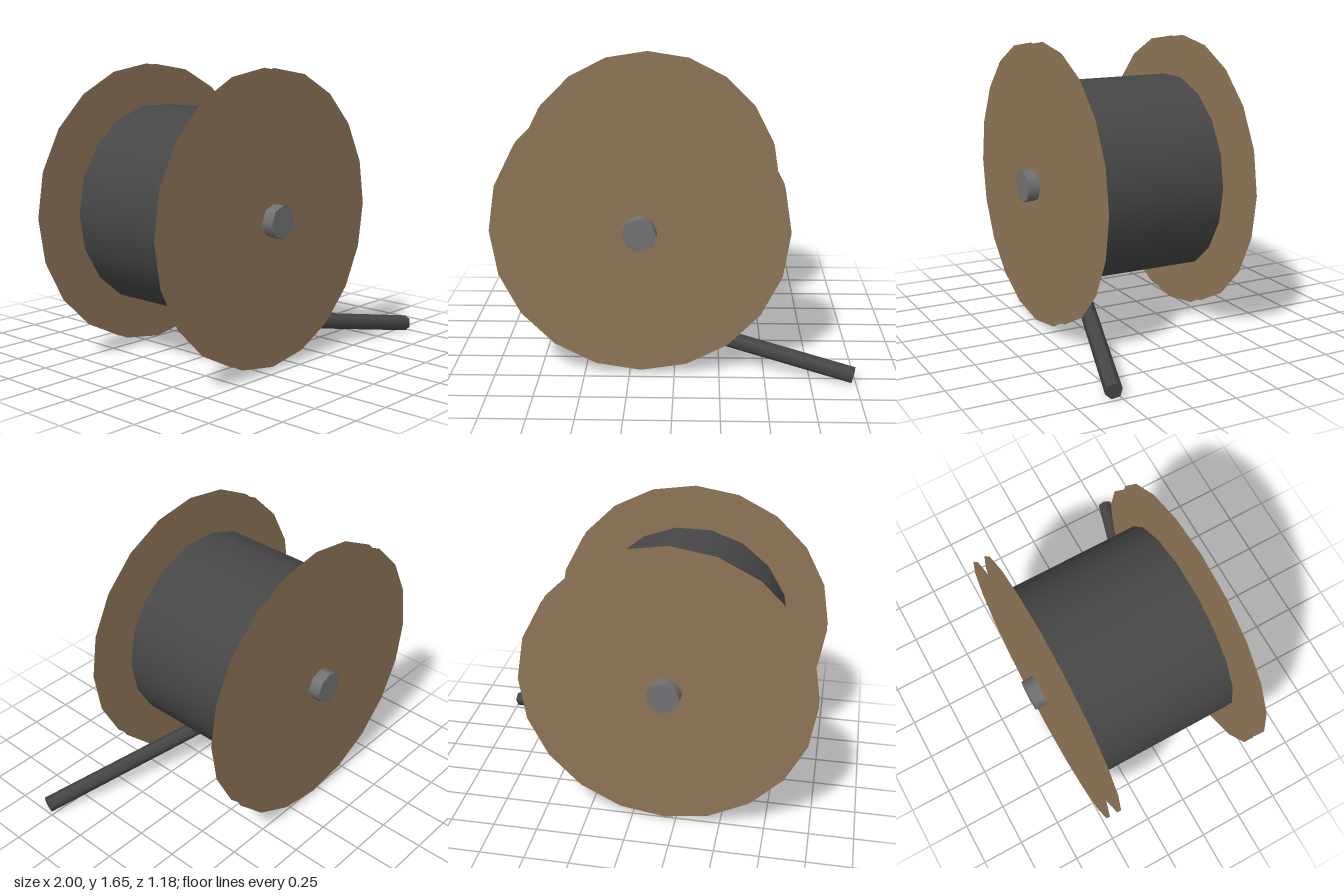
import * as THREE from 'three';

export function createModel() {
  const model = new THREE.Group();
  model.name = 'cableReel';

  const wood = new THREE.MeshStandardMaterial({ color: 0x8f7558, side: THREE.DoubleSide });
  wood.name = 'brown wood';
  const steel = new THREE.MeshStandardMaterial({ color: 0x737373 });
  steel.name = 'grey steel';
  const rubber = new THREE.MeshStandardMaterial({ color: 0x474747, side: THREE.DoubleSide });
  rubber.name = 'dark cable';

  const add = (parent, name, geometry, material) => {
    const mesh = new THREE.Mesh(geometry, material);
    mesh.name = name;
    parent.add(mesh);
    return mesh;
  };

  // Reel, lying along z around its own centre
  const reel = new THREE.Group();
  reel.name = 'reel';
  reel.position.set(-0.185, 0.837, -0.033);
  model.add(reel);

  // A cylinder along z with its first corner on the x axis
  const alongZ = (radius, length, sides, open) =>
    new THREE.CylinderGeometry(radius, radius, length, sides, 1, open)
      .rotateY(Math.PI / 2)
      .rotateX(Math.PI / 2);

  add(reel, 'axle', alongZ(0.093, 1.12, 8, false), steel);
  add(reel, 'woundCable', alongZ(0.585, 0.84, 18, true), rubber);

  // Flanges: an inner and an outer disc each, with an open rim
  for (const [name, side] of [['frontFlange', 1], ['backFlange', -1]]) {
    const flange = new THREE.Group();
    flange.name = name;
    reel.add(flange);
    for (const [face, z] of [['InnerFace', 0.42], ['OuterFace', 0.49]]) {
      const disc = new THREE.CircleGeometry(0.815, 20);
      if (side < 0) disc.rotateY(Math.PI);
      add(flange, name + face, disc, wood).position.z = side * z;
    }
  }

  // Loose cable end running from under the drum to the ground
  const start = new THREE.Vector3(-0.185, 0.247, 0.19);
  const end = new THREE.Vector3(0.986, 0.046, 0.545);
  const direction = end.clone().sub(start);
  const tail = add(model, 'looseCableEnd',
    new THREE.CylinderGeometry(0.046, 0.046, direction.length(), 6), rubber);
  tail.position.copy(start).add(end).multiplyScalar(0.5);
  tail.quaternion.setFromUnitVectors(new THREE.Vector3(0, 1, 0), direction.normalize());

  return model;
}
